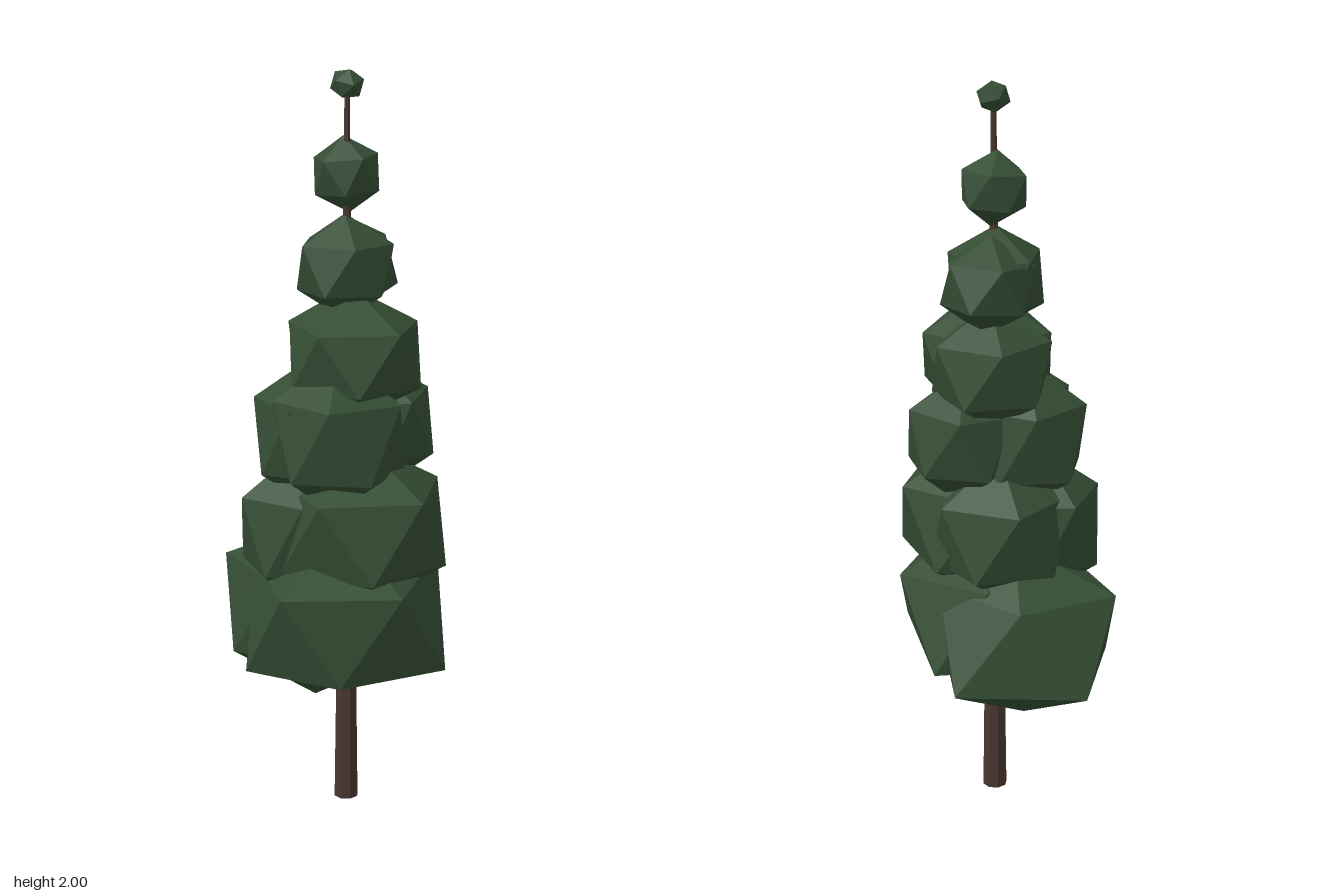
import * as THREE from 'three';

const foliage = new THREE.MeshStandardMaterial({ color: 0x344d34, flatShading: true });
foliage.name = 'dark green foliage';
const bark = new THREE.MeshStandardMaterial({ color: 0x4a3631, flatShading: true });
bark.name = 'brown bark';

const AXIS_X = 0.025, AXIS_Z = 0.02;
const deg = THREE.MathUtils.degToRad;

// A faceted leaf clump: an icosahedron standing on a corner, turned, squashed and tilted
function clump([x, y, z, radius, halfHeight, turn, tiltX = 0, tiltZ = 0]) {
  const g = new THREE.IcosahedronGeometry(1, 0);
  g.rotateZ(Math.atan(2 / (1 + Math.sqrt(5))));
  g.rotateY(deg(turn));
  g.scale(radius, halfHeight, radius);
  g.rotateX(deg(tiltX));
  g.rotateZ(deg(tiltZ));
  g.translate(x, y, z);
  return g;
}

// An uneven leaf clump: two staggered five-sided rings of [x, z] closed by a top and a bottom point
function unevenClump({ top, upperY, upper, lowerY, lower, bottom }) {
  const points = [
    ...upper.map(([x, z]) => [x, upperY, z]),
    ...lower.map(([x, z]) => [x, lowerY, z]),
    top, bottom,
  ];
  const index = [];
  for (let i = 0; i < 5; i++) {
    const j = (i + 1) % 5;
    index.push(i, j, 10, i, 5 + i, j, 5 + i, 5 + j, j, 5 + j, 5 + i, 11);
  }
  const g = new THREE.BufferGeometry();
  g.setAttribute('position', new THREE.Float32BufferAttribute(points.flat(), 3));
  g.setIndex(index);
  const flat = g.toNonIndexed();
  flat.computeVertexNormals();
  return flat;
}

// The two wide clumps at the bottom, front then back
const lowestClumps = [
  {
    top: [0, 0.8, 0.1], bottom: [0, 0.35, 0.1], upperY: 0.68, lowerY: 0.44,
    upper: [[-0.245, 0.265], [0.055, 0.36], [0.29, 0.02], [0.1, -0.17], [-0.2, -0.08]],
    lower: [[-0.1, 0.32], [0.21, 0.28], [0.235, -0.13], [-0.05, -0.17], [-0.29, 0.11]],
  },
  {
    top: [0, 0.78, -0.08], bottom: [-0.03, 0.27, -0.08], upperY: 0.66, lowerY: 0.43,
    upper: [[0.04, -0.28], [-0.24, -0.23], [-0.2, 0.08], [0.03, 0.18], [0.2, -0.05]],
    lower: [[-0.12, -0.36], [-0.27, -0.07], [-0.1, 0.15], [0.15, 0.13], [0.21, -0.25]],
  },
];

// Clumps of the higher tiers: x, y, z, radius, half height, turn, tilts
const tiers = {
  secondTier: [
    [0.037, 0.81, 0.095, 0.258, 0.23, 42],
    [-0.1, 0.79, 0.01, 0.185, 0.22, 0],
    [0.025, 0.81, -0.035, 0.207, 0.21, 54],
  ],
  thirdTier: [
    [-0.025, 1.06, 0.1, 0.197, 0.22, 62],
    [0.118, 1.06, 0.017, 0.163, 0.18, 36, 0, 4],
    [-0.062, 1.05, 0.015, 0.182, 0.21, 47],
  ],
  fourthTier: [
    [0.03, 1.265, 0.07, 0.198, 0.175, 38],
    [0.042, 1.26, -0.015, 0.178, 0.17, 48],
  ],
  fifthTier: [
    [0.02, 1.49, 0.02, 0.142, 0.14, 10],
    [0.055, 1.485, -0.03, 0.135, 0.13, 54, 4, 5],
  ],
  sixthTier: [[AXIS_X + 0.003, 1.73, 0.007, 0.098, 0.1, 30, 0, 5]],
  tipBall: [[AXIS_X, 1.961, AXIS_Z, 0.046, 0.041, 20, 25]],
};

function makeTier(name, geometries) {
  const tier = new THREE.Group();
  tier.name = name;
  geometries.forEach((g, i) => {
    const mesh = new THREE.Mesh(g, foliage);
    mesh.name = `leafClump${i + 1}`;
    tier.add(mesh);
  });
  return tier;
}

export function createModel() {
  const tree = new THREE.Group();
  tree.name = 'tree';

  // Tapering trunk running up to the tip
  const trunk = new THREE.Mesh(new THREE.CylinderGeometry(0.007, 0.034, 1.95, 8), bark);
  trunk.name = 'trunk';
  trunk.position.set(AXIS_X, 0.975, AXIS_Z);
  tree.add(trunk);

  // Foliage, bottom to top
  tree.add(makeTier('lowestTier', lowestClumps.map(unevenClump)));
  for (const [name, clumps] of Object.entries(tiers)) {
    tree.add(makeTier(name, clumps.map(clump)));
  }
  return tree;
}
